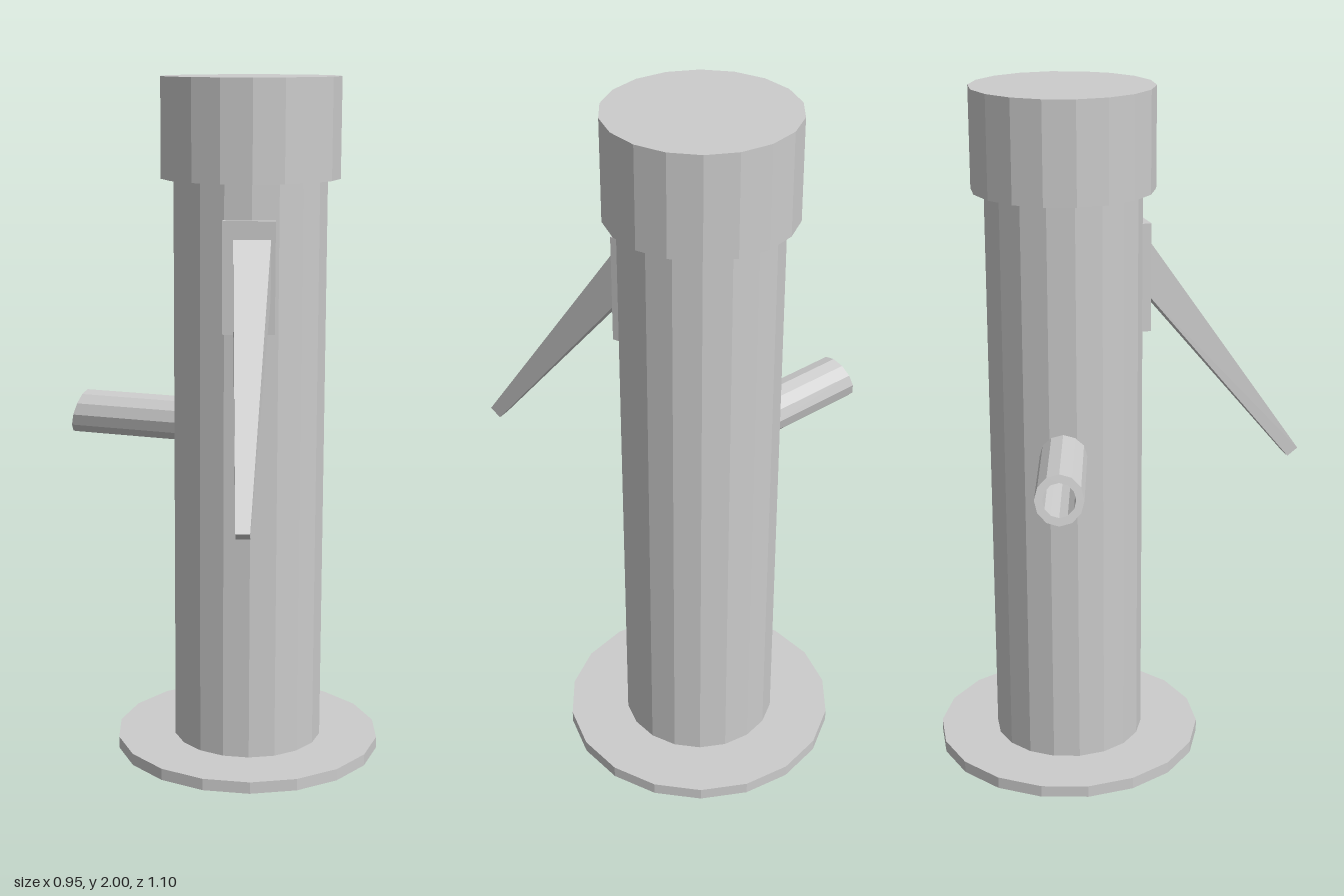
import * as THREE from 'three';

export function createModel() {
  const model = new THREE.Group();
  const material = new THREE.MeshStandardMaterial({ color: 0xcccccc, flatShading: true });
  const axisX = 0.08, axisZ = -0.155;

  const add = (parent, name, geometry, x = 0, y = 0, z = 0) => {
    const mesh = new THREE.Mesh(geometry, material);
    mesh.name = name;
    mesh.position.set(x, y, z);
    parent.add(mesh);
    return mesh;
  };

  // Upright drums stacked on one axis
  const drum = (name, radius, bottom, top) =>
    add(model, name, new THREE.CylinderGeometry(radius, radius, top - bottom, 18),
      axisX, (bottom + top) / 2, axisZ);
  drum('basePlate', 0.396, 0, 0.035);
  drum('column', 0.2225, 0.035, 1.715);
  drum('cap', 0.259, 1.715, 2);

  // Hollow spout with a slanted mouth
  const spoutRoot = -0.125, spoutLength = 0.333;
  const spout = new THREE.LatheGeometry([
    new THREE.Vector2(0.067, 0), new THREE.Vector2(0.067, spoutLength),
    new THREE.Vector2(0.045, spoutLength), new THREE.Vector2(0.045, 0),
  ], 12);
  spout.rotateZ(Math.PI / 2);
  const sp = spout.attributes.position;
  for (let i = 0; i < sp.count; i++) {
    if (sp.getX(i) < -0.1) sp.setX(i, sp.getX(i) + 0.27 * sp.getY(i));
  }
  spout.computeVertexNormals();
  add(model, 'spout', spout, spoutRoot, 0.995, axisZ);

  // Lever assembly, turned about the column axis; local +z points outward
  const leverGroup = new THREE.Group();
  leverGroup.name = 'leverAssembly';
  leverGroup.position.set(axisX, 0, axisZ);
  leverGroup.rotation.y = THREE.MathUtils.degToRad(18);
  model.add(leverGroup);
  add(leverGroup, 'leverPlate', new THREE.BoxGeometry(0.147, 0.315, 0.027), 0, 1.457, 0.222);

  // Tapered lever sloping down from the plate to a narrow tip
  const lever = new THREE.BoxGeometry(1, 1, 1);
  const lp = lever.attributes.position;
  for (let i = 0; i < lp.count; i++) {
    const side = lp.getX(i), upper = lp.getY(i) > 0, tip = lp.getZ(i) > 0;
    if (tip) lp.setXYZ(i, -0.005 + side * 0.038, upper ? 0.868 : 0.845, upper ? 0.73 : 0.698);
    else lp.setXYZ(i, 0.009 + side * 0.106, upper ? 1.578 : 1.413, 0.225);
  }
  lever.computeVertexNormals();
  add(leverGroup, 'lever', lever);

  return model;
}
